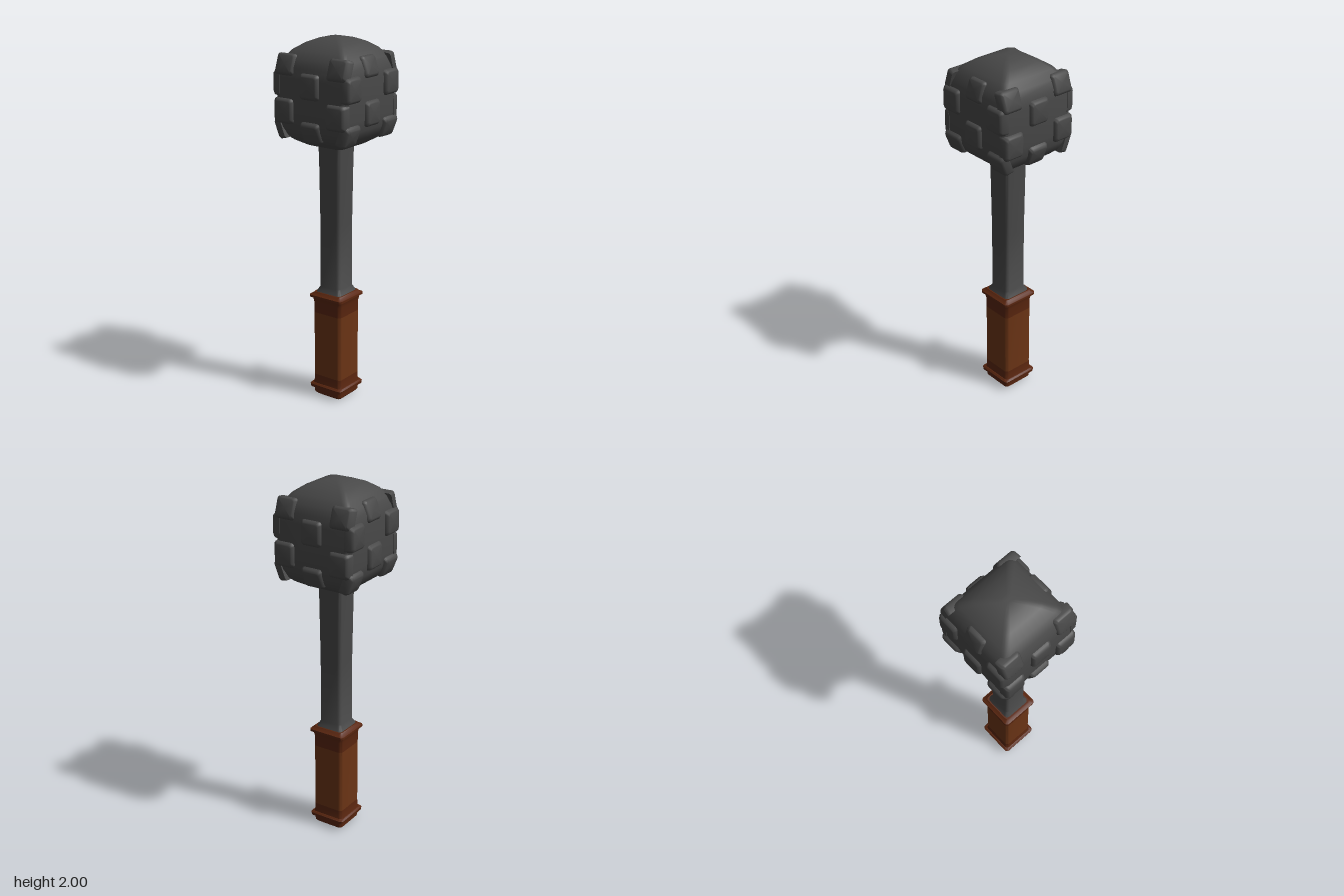
import * as THREE from 'three';
import { toCreasedNormals } from 'three/addons/utils/BufferGeometryUtils.js';

const iron = new THREE.MeshStandardMaterial({ color: 0x484848 });
const wood = new THREE.MeshStandardMaterial({ color: 0x6b3415 });
const darkWood = new THREE.MeshStandardMaterial({ color: 0x5a260f });

// Rounded-square loft: each profile row is [y, half width, corner radius]
function squareLoft(profile, crease = 0.7) {
  const pos = [], index = [], steps = 3, n = 4 * (steps + 1);
  for (const [y, half, r] of profile) {
    for (let c = 0; c < 4; c++) {
      const mid = Math.PI / 4 + c * Math.PI / 2;
      const cx = Math.sign(Math.cos(mid)) * (half - r);
      const cz = Math.sign(Math.sin(mid)) * (half - r);
      for (let s = 0; s <= steps; s++) {
        const a = (c + s / steps) * Math.PI / 2;
        pos.push(cx + r * Math.cos(a), y, -(cz + r * Math.sin(a)));
      }
    }
  }
  const last = profile.length - 1;
  for (let j = 0; j < last; j++) {
    for (let i = 0; i < n; i++) {
      const a = j * n + i, b = j * n + (i + 1) % n;
      index.push(a, b, b + n, a, b + n, a + n);
    }
  }
  // End caps
  const bottom = pos.length / 3;
  pos.push(0, profile[0][0], 0, 0, profile[last][0], 0);
  for (let i = 0; i < n; i++) {
    const k = (i + 1) % n;
    index.push(bottom, k, i, bottom + 1, last * n + i, last * n + k);
  }
  const geo = new THREE.BufferGeometry();
  geo.setAttribute('position', new THREE.Float32BufferAttribute(pos, 3));
  geo.setIndex(index);
  return toCreasedNormals(geo, crease);
}

function add(parent, name, geometry, material) {
  const mesh = new THREE.Mesh(geometry, material);
  mesh.name = name;
  parent.add(mesh);
  return mesh;
}

export function createModel() {
  const model = new THREE.Group();
  model.name = 'mallet';

  // Handle: butt cap, lower rim, grip, flared collar, upper rim
  add(model, 'buttCap', squareLoft([
    [0, 0.078, 0.015], [0.012, 0.09, 0.018], [0.045, 0.092, 0.018],
  ]), darkWood);
  add(model, 'lowerRim', squareLoft([
    [0.04, 0.094, 0.015], [0.046, 0.106, 0.018], [0.062, 0.108, 0.018], [0.07, 0.1, 0.018],
  ]), darkWood);
  add(model, 'lowerBand', squareLoft([
    [0.065, 0.096, 0.018], [0.085, 0.092, 0.02], [0.12, 0.091, 0.02],
  ]), darkWood);
  add(model, 'grip', squareLoft([[0.118, 0.091, 0.02], [0.492, 0.091, 0.02]]), wood);
  add(model, 'upperBand', squareLoft([
    [0.49, 0.091, 0.02], [0.55, 0.092, 0.02], [0.575, 0.096, 0.018], [0.585, 0.1, 0.016],
  ]), darkWood);
  add(model, 'upperRim', squareLoft([
    [0.578, 0.1, 0.015], [0.582, 0.108, 0.016], [0.594, 0.108, 0.016],
    [0.602, 0.094, 0.016], [0.61, 0.088, 0.016],
  ]), darkWood);

  // Shaft with a flared foot
  add(model, 'shaft', squareLoft([
    [0.6, 0.085, 0.02], [0.615, 0.08, 0.02], [0.64, 0.066, 0.018],
    [1.0, 0.066, 0.018], [1.35, 0.07, 0.018], [1.46, 0.073, 0.018],
  ]), iron);

  // Head: square block with domed top and tapered underside
  const head = new THREE.Group();
  head.name = 'head';
  model.add(head);
  add(head, 'headBody', squareLoft([
    [1.42, 0.07, 0.02], [1.435, 0.115, 0.025], [1.465, 0.165, 0.03], [1.495, 0.198, 0.03],
    [1.54, 0.218, 0.03], [1.6, 0.225, 0.03], [1.8, 0.225, 0.03], [1.85, 0.218, 0.03],
    [1.895, 0.2, 0.03], [1.935, 0.168, 0.03], [1.97, 0.118, 0.025],
    [1.99, 0.07, 0.02], [1.998, 0.03, 0.012], [2, 0.006, 0.002],
  ], 0.9), iron);

  // Studs in a checkerboard, its phase swapped on neighbouring faces
  const stud = squareLoft([
    [-0.05, 0.063, 0.016], [-0.014, 0.059, 0.016], [-0.003, 0.051, 0.014], [0, 0.045, 0.012],
  ], 0.9);
  const rows = [ // y, outward distance, tilt, vertical scale
    [1.87, 0.223, 0.33, 0.95], [1.765, 0.245, 0, 1.1],
    [1.627, 0.245, 0, 1.1], [1.52, 0.227, -0.38, 0.95],
  ];
  for (let face = 0; face < 4; face++) {
    const side = new THREE.Group();
    side.name = 'studdedFace';
    side.rotation.y = face * Math.PI / 2;
    head.add(side);
    rows.forEach(([y, out, tilt, tall], row) => {
      for (let col = -1; col <= 1; col++) {
        if ((row + col + face + 4) % 2) continue;
        const mesh = add(side, 'stud', stud, iron);
        mesh.position.set(col * 0.165, y, out);
        mesh.rotation.x = Math.PI / 2 - tilt;
        mesh.scale.z = tall;
      }
    });
  }
  return model;
}
